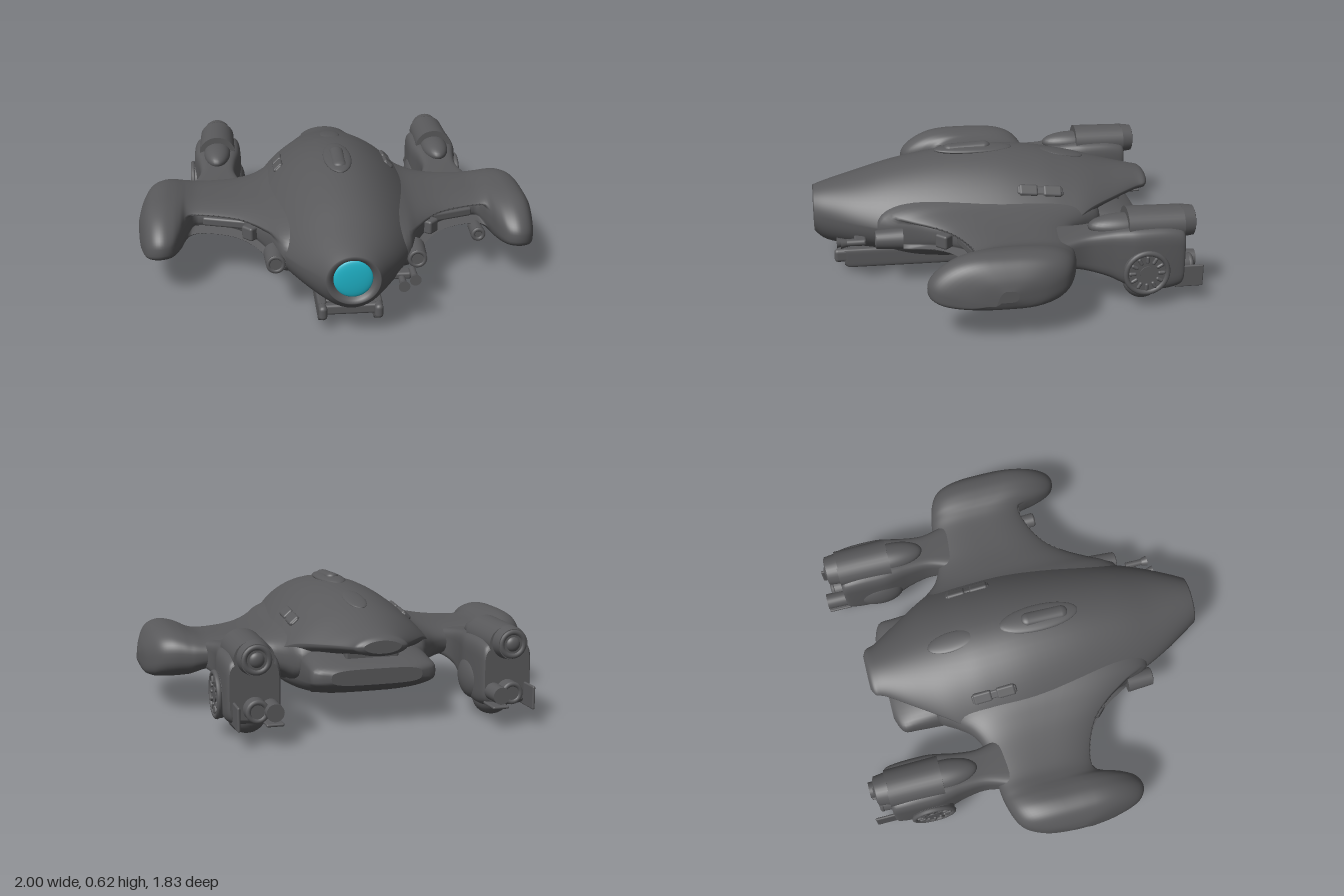
import * as THREE from 'three';
import { RoundedBoxGeometry } from 'three/addons/geometries/RoundedBoxGeometry.js';

const hullGrey = new THREE.MeshStandardMaterial({ color: 0x59595b });
hullGrey.name = 'hull grey';
const lensTeal = new THREE.MeshStandardMaterial({ color: 0x1fb4c9 });
lensTeal.name = 'lens teal';

// Catmull-Rom resampling of rows of numbers
function resample(rows, steps) {
  const out = [];
  for (let i = 0; i < rows.length - 1; i++) {
    const [a, b, c, d] = [rows[Math.max(i - 1, 0)], rows[i], rows[i + 1], rows[Math.min(i + 2, rows.length - 1)]];
    for (let k = 0; k < steps; k++) {
      const t = k / steps;
      out.push(b.map((_, n) => b[n] + 0.5 * t * (c[n] - a[n]
        + t * (2 * a[n] - 5 * b[n] + 4 * c[n] - d[n] + t * (3 * (b[n] - c[n]) + d[n] - a[n])))));
    }
  }
  out.push(rows[rows.length - 1]);
  return out;
}

// Skin closed rings of [x, y, z] and cap both ends
function loft(rings) {
  const n = rings[0].length, pos = rings.flat(2), idx = [];
  for (let i = 0; i < rings.length - 1; i++) {
    for (let j = 0; j < n; j++) {
      const k = (j + 1) % n, a = i * n + j, b = i * n + k;
      idx.push(a, a + n, b, b, a + n, b + n);
    }
  }
  for (const [ring, start] of [[rings[0], true], [rings[rings.length - 1], false]]) {
    const base = pos.length / 3;
    pos.push(...ring.flat());
    pos.push(...[0, 1, 2].map(c => ring.reduce((s, p) => s + p[c], 0) / n));
    for (let j = 0; j < n; j++) {
      const k = (j + 1) % n;
      idx.push(base + n, base + (start ? j : k), base + (start ? k : j));
    }
  }
  const g = new THREE.BufferGeometry();
  g.setAttribute('position', new THREE.Float32BufferAttribute(pos, 3));
  g.setIndex(idx);
  g.computeVertexNormals();
  return g;
}

const power = (v, p) => Math.sign(v) * Math.pow(Math.abs(v), p);
const loop = (n, fn) => Array.from({ length: n }, (_, j) => fn(Math.PI * 2 * j / n));
// Rounded-box ring across z: row = [z, halfWidth, top, bottom]
const boxRing = (cx, p) => ([z, w, t, b]) => loop(40, a =>
  [cx + w * power(Math.cos(a), p), (t + b) / 2 + (t - b) / 2 * power(Math.sin(a), p), z]);

export function createModel() {
  const model = new THREE.Group();
  const add = (name, geo, x = 0, y = 0, z = 0, mat = hullGrey, parent = model) => {
    const m = new THREE.Mesh(geo, mat);
    m.name = name;
    m.position.set(x, y, z);
    parent.add(m);
    return m;
  };
  const box = (w, h, d, r = 0.012) => new RoundedBoxGeometry(w, h, d, 3, Math.min(r, w / 2.1, h / 2.1, d / 2.1));
  const rod = (r0, r1, len) => new THREE.CylinderGeometry(r0, r1, len, 32).rotateX(Math.PI / 2); // r0 faces +z
  const ball = (x, y, z) => new THREE.SphereGeometry(1, 32, 20).scale(x, y, z);

  // Fuselage with a nose socket folded inward: z, half width, top, widest height, bottom, shoulder flare
  const socket = [[0.88, 0.088, 0.396, 0.308, 0.22, 0], [0.905, 0.1, 0.408, 0.308, 0.208, 0]];
  const body = [
    [0.912, 0.122, 0.425, 0.308, 0.195, 0], [0.85, 0.16, 0.445, 0.31, 0.145, 0.1],
    [0.7, 0.245, 0.485, 0.3, 0.12, 0.3], [0.5, 0.33, 0.54, 0.29, 0.11, 0.6],
    [0.25, 0.4, 0.582, 0.29, 0.1, 0.9], [0, 0.43, 0.594, 0.29, 0.09, 0.95],
    [-0.2, 0.43, 0.578, 0.29, 0.085, 0.95], [-0.33, 0.4, 0.553, 0.31, 0.14, 0.9],
    [-0.45, 0.325, 0.524, 0.36, 0.28, 0.8], [-0.6, 0.225, 0.482, 0.38, 0.325, 0.65],
    [-0.72, 0.145, 0.455, 0.39, 0.345, 0.4], [-0.77, 0.125, 0.442, 0.395, 0.35, 0.3],
    [-0.79, 0.09, 0.425, 0.398, 0.365, 0.3],
  ];
  add('fuselage', loft([...socket, ...resample(body, 5)].map(([z, w, t, m, b, k]) => loop(64, a => {
    const s = Math.sin(a);
    return [w * Math.cos(a), s > 0 ? m + (t - m) * Math.pow(s, 1 + k) : m - (m - b) * Math.pow(-s, 1 - 0.25 * k), z];
  }))));
  add('noseLens', ball(0.09, 0.09, 0.015), 0, 0.308, 0.884, lensTeal);

  // Lower hull carrying the tail deck
  add('lowerHull', loft(resample([
    [0.1, 0.3, 0.34, 0.11], [-0.1, 0.35, 0.36, 0.085], [-0.25, 0.33, 0.37, 0.08],
    [-0.45, 0.31, 0.36, 0.11], [-0.6, 0.305, 0.33, 0.15], [-0.68, 0.297, 0.3, 0.185], [-0.715, 0.22, 0.28, 0.205],
  ], 4).map(boxRing(0, 0.55))));
  add('tailRecess', box(0.26, 0.12, 0.14), 0, 0.34, -0.57);

  // Dorsal hatches
  add('dorsalPad', ball(0.07, 0.02, 0.2), 0, 0.587, 0.1);
  add('dorsalHatch', new THREE.CapsuleGeometry(0.034, 0.17, 8, 24).rotateX(Math.PI / 2).scale(1, 0.6, 1), 0, 0.597, 0.13).rotation.x = 0.04;
  add('rearHatch', ball(0.052, 0.012, 0.12), 0, 0.544, -0.35).rotation.x = -0.2;

  // Wing: x, leading z, trailing z, top, bottom
  const wing = [
    [0.2, 0.62, -0.5, 0.46, 0.14], [0.3, 0.6, -0.5, 0.425, 0.14], [0.36, 0.5, -0.42, 0.402, 0.165],
    [0.42, 0.395, -0.35, 0.388, 0.19], [0.5, 0.3, -0.31, 0.376, 0.207], [0.6, 0.24, -0.3, 0.37, 0.21],
    [0.7, 0.21, -0.29, 0.37, 0.205], [0.755, 0.225, -0.285, 0.38, 0.188], [0.785, 0.32, -0.28, 0.39, 0.175],
    [0.82, 0.39, -0.272, 0.4, 0.17], [0.87, 0.415, -0.257, 0.406, 0.165], [0.92, 0.4, -0.23, 0.395, 0.163],
    [0.955, 0.35, -0.185, 0.368, 0.165], [0.985, 0.235, -0.1, 0.318, 0.178], [1, 0.12, 0.02, 0.27, 0.215],
  ];
  const wingRing = s => ([x, f, b, t, u]) => {
    const inSlot = THREE.MathUtils.smoothstep(x, 0.3, 0.38) * (1 - THREE.MathUtils.smoothstep(x, 0.72, 0.76));
    const tip = THREE.MathUtils.smoothstep(x, 0.74, 0.84);
    return loop(64, a => {
      const c = Math.cos(a), sn = Math.sin(a);
      const recess = c > 0 && Math.abs(sn) < 0.4 ? 0.09 * inSlot : 0; // intake slot along the leading edge
      const z = (f + b) / 2 + (f - b) / 2 * power(c, c > 0 ? 0.7 : 0.7 - 0.15 * tip) - recess;
      const droop = c > 0 ? (0.04 + 0.03 * sn) * c * c * tip : 0;
      return [s * x, (t + u) / 2 + (t - u) / 2 * power(sn, 0.75) - droop, z];
    });
  };

  for (const s of [1, -1]) {
    const side = s > 0 ? 'left' : 'right';
    const rings = resample(wing, 4).map(wingRing(s));
    add(side + 'Wing', loft(s > 0 ? rings : rings.reverse()));
    add(side + 'SlotPlate', box(0.25, 0.045, 0.08), s * 0.55, 0.295, 0.17).rotation.y = s * 0.3;
    add(side + 'SlotBlock', box(0.07, 0.07, 0.1), s * 0.43, 0.285, 0.28).rotation.y = s * 0.8;

    // Cheek guns
    add(side + 'CheekGun', rod(0.046, 0.054, 0.13), s * 0.335, 0.26, 0.55);
    add(side + 'CheekMuzzle', new THREE.TorusGeometry(0.036, 0.01, 10, 28), s * 0.335, 0.26, 0.61);

    // Shoulder vents
    const vent = new THREE.Group();
    vent.name = side + 'ShoulderVent';
    vent.position.set(s * 0.285, 0.449, -0.2);
    vent.rotation.set(-0.1, 0, -s * 0.75);
    for (const z of [-0.06, 0.06]) add('ventBlock', box(0.06, 0.03, 0.095), 0, 0, z, hullGrey, vent);
    add('ventBase', box(0.045, 0.02, 0.23), 0, 0, 0, hullGrey, vent);
    model.add(vent);

    // Landing skids, tapering up into the belly at the rear
    add(side + 'Skid', loft([
      [0.77, 0.018, 0.13, 0.045], [0.75, 0.022, 0.13, 0.03], [0.3, 0.026, 0.13, 0.028],
      [-0.1, 0.026, 0.12, 0.03], [-0.14, 0.022, 0.12, 0.045], [-0.19, 0.018, 0.11, 0.08],
    ].map(boxRing(s * 0.13, 0.4))));
    add(side + 'SkidToe', box(0.04, 0.07, 0.08, 0.02), s * 0.13, 0.095, 0.78);

    // Engine nacelle
    const nacelle = new THREE.Group();
    nacelle.name = side + 'Nacelle';
    nacelle.position.x = s * 0.602;
    model.add(nacelle);
    const part = (name, geo, x, y, z) => add(name, geo, s * x, y, z, hullGrey, nacelle);
    part('engineArm', loft(resample([
      [-0.16, 0.16, 0.35, 0.22], [-0.27, 0.115, 0.36, 0.21], [-0.36, 0.094, 0.37, 0.185],
      [-0.46, 0.102, 0.385, 0.15], [-0.53, 0.116, 0.395, 0.115], [-0.6, 0.128, 0.4, 0.085],
      [-0.72, 0.128, 0.4, 0.075], [-0.8, 0.122, 0.385, 0.09], [-0.82, 0.112, 0.365, 0.11],
    ], 4).map(boxRing(0, 0.38))), 0, 0, 0);
    part('upperFairing', ball(0.072, 0.055, 0.17), 0, 0.385, -0.54);
    part('upperEngine', rod(0.097, 0.092, 0.27).scale(1, 0.9, 1), 0, 0.385, -0.685);
    part('upperCollar', rod(0.08, 0.072, 0.06), 0, 0.39, -0.845);
    part('upperNozzle', new THREE.TorusGeometry(0.056, 0.016, 12, 32), 0, 0.39, -0.865);
    part('upperExhaust', ball(0.035, 0.035, 0.02), 0, 0.39, -0.87);
    part('lowerDome', ball(0.09, 0.085, 0.088), 0, 0.09, -0.64);
    part('lowerEngine', rod(0.06, 0.05, 0.14), 0, 0.16, -0.81);
    part('lowerNozzle', new THREE.TorusGeometry(0.042, 0.012, 10, 28), 0, 0.16, -0.875);
    part('exhaustPipe', rod(0.042, 0.04, 0.12), -0.07, 0.16, -0.86);
    part('exhaustPetal', box(0.08, 0.014, 0.12), -0.07, 0.105, -0.86);
    part('exhaustFin', box(0.014, 0.11, 0.14), 0.092, 0.14, -0.85);
    part('innerBulge', ball(0.05, 0.1, 0.12), -0.1, 0.19, -0.63);

    // Spoked turbine disc on the outer side
    const disc = new THREE.Group();
    disc.name = 'turbineDisc';
    disc.position.set(s * 0.127, 0.19, -0.63);
    disc.rotation.y = Math.PI / 2;
    nacelle.add(disc);
    add('discPlate', rod(0.108, 0.108, 0.03), 0, 0, 0, hullGrey, disc);
    add('discRim', new THREE.TorusGeometry(0.1, 0.013, 10, 40), 0, 0, s * 0.012, hullGrey, disc);
    add('discHub', rod(0.035, 0.035, 0.04), 0, 0, 0, hullGrey, disc);
    for (let i = 0; i < 12; i++) {
      const a = i * Math.PI / 6;
      add('discVane', box(0.038, 0.018, 0.02), 0.07 * Math.cos(a), 0.07 * Math.sin(a), s * 0.014, hullGrey, disc).rotation.z = a;
    }
  }

  // Belly plate and front skid bar
  add('bellyPlate', box(0.25, 0.03, 0.84), 0, 0.105, 0.3);
  add('skidBar', box(0.26, 0.05, 0.04), 0, 0.1, 0.77);

  // Small guns fitted on the left side only
  for (const [x, y, z] of [[0.245, 0.215, 0.74], [0.3, 0.235, 0.72]]) {
    add('chinGun', rod(0.016, 0.016, 0.1), x, y, z);
    add('chinMuzzle', rod(0.027, 0.018, 0.03), x, y, z + 0.05);
  }
  add('chinGunMount', box(0.1, 0.035, 0.06), 0.24, 0.225, 0.69);
  add('wingGun', rod(0.038, 0.032, 0.12), 0.7, 0.21, 0.2);
  add('wingGunMuzzle', new THREE.TorusGeometry(0.026, 0.01, 10, 24), 0.7, 0.21, 0.26);
  return model;
}
